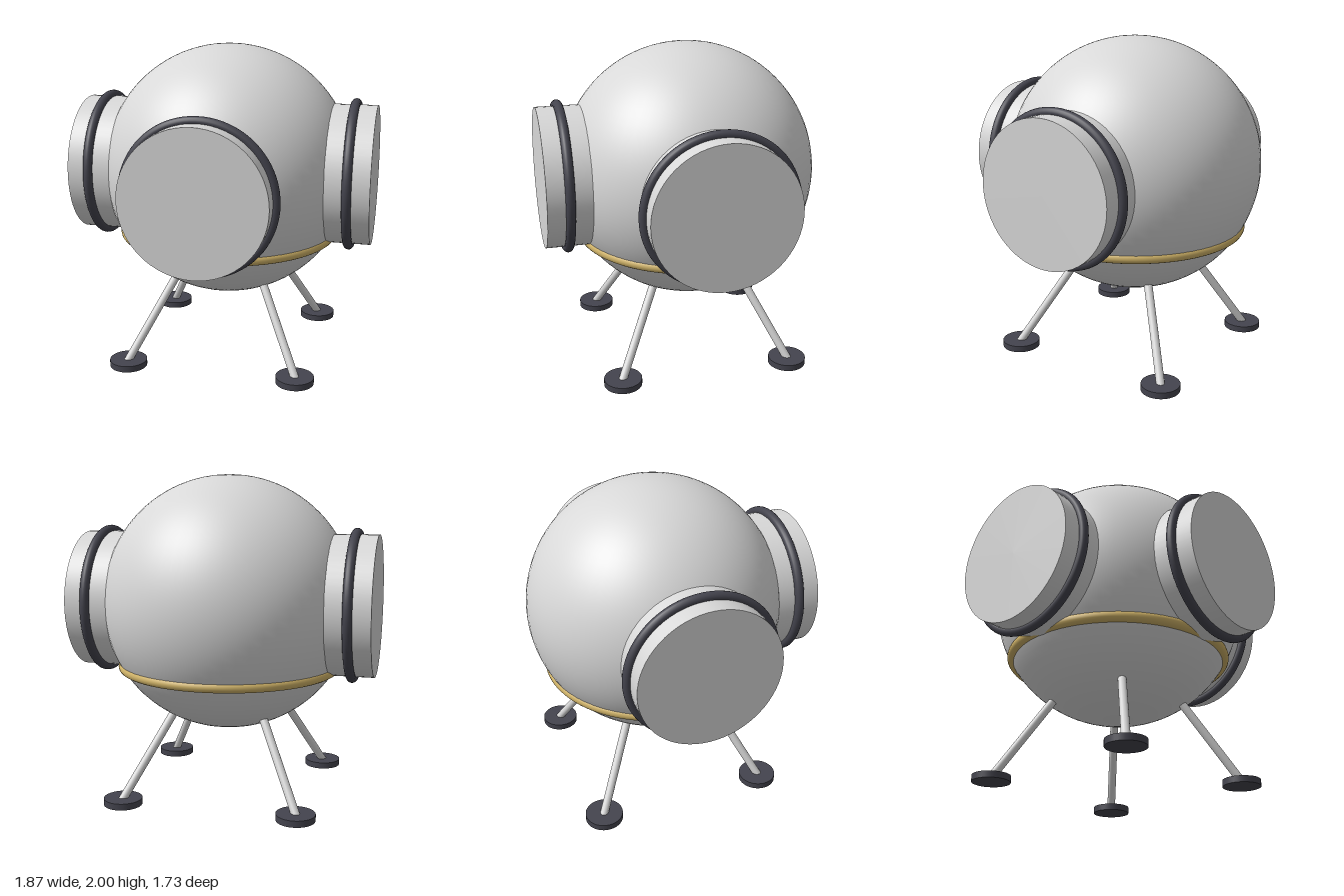
import * as THREE from 'three';

const CY = 1.203, CZ = -0.068, R = 0.797;

const material = (name, color) => {
  const m = new THREE.MeshStandardMaterial({ color });
  m.name = name;
  return m;
};

function addMesh(parent, name, geometry, mat) {
  const mesh = new THREE.Mesh(geometry, mat);
  mesh.name = name;
  parent.add(mesh);
  return mesh;
}

export function createModel() {
  const hullGrey = material('hullGrey', 0xd8d8d8);
  const darkGrey = material('darkGrey', 0x44444e);
  const gold = material('gold', 0xd0b368);

  const model = new THREE.Group();
  model.name = 'sphericalModule';

  // Hull
  const hull = addMesh(model, 'hull', new THREE.SphereGeometry(R, 64, 48), hullGrey);
  hull.position.set(0, CY, CZ);

  // Gold band below the ports
  const band = addMesh(model, 'goldBand', new THREE.TorusGeometry(0.675, 0.033, 16, 96), gold);
  band.rotation.x = Math.PI / 2;
  band.position.set(0, 0.8, CZ);

  // Docking ports: front, left and right, each with a seal ring
  const ports = { frontPort: 0, leftPort: Math.PI / 2, rightPort: -Math.PI / 2 };
  for (const [name, angle] of Object.entries(ports)) {
    const port = new THREE.Group();
    port.name = name;
    const tube = addMesh(port, 'portTube', new THREE.CylinderGeometry(0.437, 0.437, 0.4, 64), hullGrey);
    tube.rotation.x = Math.PI / 2;
    tube.position.z = 0.736;
    const seal = addMesh(port, 'sealRing', new THREE.TorusGeometry(0.446, 0.029, 16, 80), darkGrey);
    seal.position.z = 0.8;
    port.position.set(0, CY, CZ);
    port.rotation.y = angle;
    model.add(port);
  }

  // Four splayed legs with round foot pads
  const up = new THREE.Vector3(0, 1, 0);
  for (const sx of [-1, 1]) for (const sz of [-1, 1]) {
    const leg = new THREE.Group();
    leg.name = (sz > 0 ? 'front' : 'back') + (sx > 0 ? 'Left' : 'Right') + 'Leg';
    const bottom = new THREE.Vector3(sx * 0.541, 0.025, sz * 0.541);
    const top = new THREE.Vector3(sx * 0.25, 0.6, sz * 0.25);
    const axis = top.clone().sub(bottom);
    const strut = addMesh(leg, 'strut', new THREE.CylinderGeometry(0.026, 0.026, axis.length(), 20), hullGrey);
    strut.position.copy(bottom).add(top).multiplyScalar(0.5);
    strut.quaternion.setFromUnitVectors(up, axis.normalize());
    const pad = addMesh(leg, 'footPad', new THREE.CylinderGeometry(0.118, 0.118, 0.04, 36), darkGrey);
    pad.position.set(sx * 0.537, 0.02, sz * 0.537);
    leg.position.z = CZ;
    model.add(leg);
  }

  return model;
}
